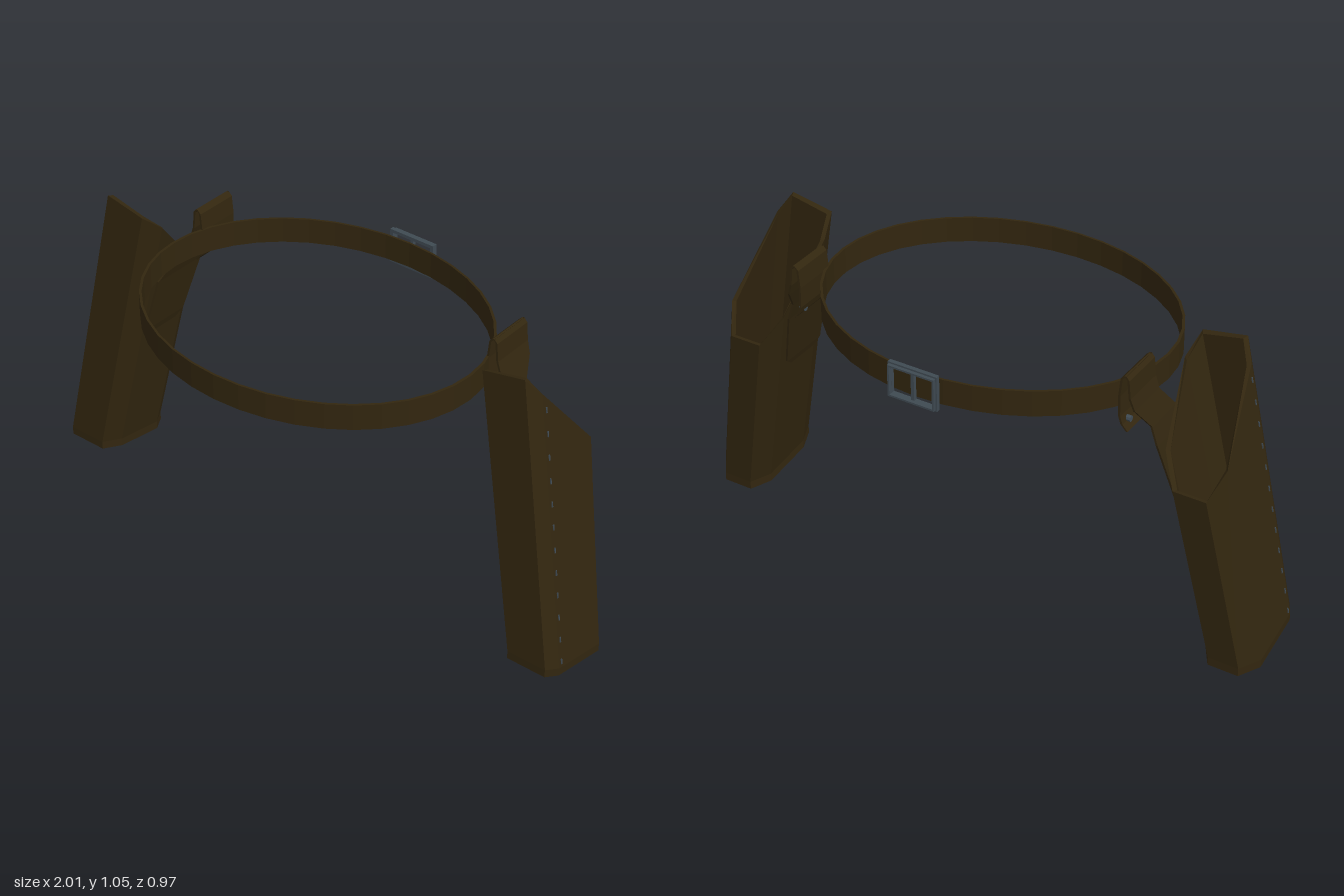
import * as THREE from 'three';

const leather = new THREE.MeshStandardMaterial({ color: 0x32260f, flatShading: true, side: THREE.DoubleSide });
leather.name = 'dark brown leather';
const metal = new THREE.MeshStandardMaterial({ color: 0x3f4a52, flatShading: true });
metal.name = 'grey metal';

const along = (y, y0, a, y1, b) => a + (b - a) * (y - y0) / (y1 - y0);

// Point on the tapered, leaning holster body: u inner to outer, v back to front
function bodyPoint(u, v, y) {
  const inner = along(y, 0.06, 0.82, 1.0, 0.632);
  const outer = along(y, 0.1, 1.0, 1.0, 0.838);
  const back = along(y, 0.03, -0.182, 0.665, -0.24);
  const front = along(y, 0.11, 0.125, 1.055, 0.065);
  return [inner + (outer - inner) * u, y, back + (front - back) * v];
}

// Skin over a list of loops; optional caps at both ends
function loft(loops, closed) {
  const n = loops[0].length, index = [];
  const last = (loops.length - 1) * n;
  for (let i = 0; i < loops.length - 1; i++) {
    for (let j = 0; j < (closed ? n : n - 1); j++) {
      const k = (j + 1) % n;
      const a = i * n + j, b = i * n + k, c = b + n, d = a + n;
      index.push(a, d, c, a, c, b);
    }
  }
  if (closed) {
    for (let j = 1; j < n - 1; j++) index.push(0, j, j + 1, last, last + j + 1, last + j);
  }
  const g = new THREE.BufferGeometry();
  g.setAttribute('position', new THREE.Float32BufferAttribute(loops.flat(2), 3));
  g.setIndex(index);
  g.computeVertexNormals();
  return g;
}

// Mirror a geometry across x and keep its faces outward
function mirrored(geometry) {
  const g = geometry.clone().scale(-1, 1, 1);
  const ix = g.index.array;
  for (let i = 0; i < ix.length; i += 3) [ix[i], ix[i + 1]] = [ix[i + 1], ix[i]];
  g.computeVertexNormals();
  return g;
}

function holsterGeometry() {
  const section = [[1, 0.87], [0.88, 1], [0.15, 1], [0, 0.78], [0, 0.2], [0.2, 0], [0.75, 0], [1, 0.2]];
  const mouthY = [0.995, 1.055, 1.027, 0.965, 0.755, 0.665, 0.665, 0.755];
  const inset = (t) => 0.5 + (t - 0.5) * 0.9;
  const rim = section.map(([u, v]) => bodyPoint(u, v, 0.087 + 0.18 * (v * 0.305 - 0.18)));
  const lowRim = rim.map(([x, y, z]) => [x, y - 0.028, z]);
  const toe = rim.map(([x, , z]) => [0.905 + (x - 0.905) * 0.25, 0.004 + Math.max(0, z) * 0.1, -0.04 + (z + 0.03) * 0.3]);
  const mouth = section.map(([u, v], i) => bodyPoint(u, v, mouthY[i]));
  const lip = section.map(([u, v], i) => bodyPoint(inset(u), inset(v), mouthY[i] - 0.004));
  const floor = section.map(([u, v]) => bodyPoint(inset(u), inset(v), 0.15));
  return loft([toe, lowRim, rim, mouth, lip, floor], true);
}

// Hanger strap: hooks over the belt, narrows, then lies on the holster's inner side
function hangerGeometry() {
  const stations = [ // x, y, back z, front z
    [0.584, 0.825, -0.25, -0.1], [0.566, 0.845, -0.25, -0.1], [0.558, 0.87, -0.25, -0.1],
    [0.556, 0.94, -0.25, -0.1], [0.562, 1.0, -0.25, -0.1], [0.574, 1.012, -0.25, -0.1],
    [0.584, 1.0, -0.25, -0.1], [0.59, 0.94, -0.25, -0.1], [0.603, 0.9, -0.245, -0.1],
    [0.632, 0.825, -0.19, -0.045], [0.652, 0.765, -0.19, 0.01], [0.7, 0.57, -0.15, 0.03],
    [0.709, 0.545, -0.12, 0.0],
  ];
  const t = 0.007;
  return loft(stations.map(([x, y, b, f]) => [[x, y, f], [x, y, b], [x + t, y, b], [x + t, y, f]]), true);
}

export function createModel() {
  const model = new THREE.Group();
  model.name = 'beltWithHolsters';
  const add = (parent, name, geometry, material) => {
    const m = new THREE.Mesh(geometry, material);
    m.name = name;
    parent.add(m);
    return m;
  };

  // Oval belt
  const profile = [[0.573, 0.859], [0.582, 0.859], [0.582, 0.945], [0.573, 0.945], [0.573, 0.859]]
    .map(([x, y]) => new THREE.Vector2(x, y));
  const belt = new THREE.LatheGeometry(profile, 40);
  belt.scale(1, 1, 0.808).translate(0, 0, 0.012);
  add(model, 'belt', belt, leather);

  // Buckle at the back: frame with two openings and a raised rim
  const buckle = new THREE.Group();
  buckle.name = 'buckle';
  model.add(buckle);
  const bar = (name, w, h, d, x, y, z) =>
    add(buckle, name, new THREE.BoxGeometry(w, h, d).translate(x, y, z), metal);
  for (const s of [-1, 1]) {
    bar('buckleRail', 0.168, 0.011, 0.014, 0, 0.903 + s * 0.054, -0.468);
    bar('buckleSide', 0.011, 0.118, 0.014, s * 0.079, 0.903, -0.468);
    bar('buckleRim', 0.16, 0.006, 0.012, 0, 0.903 + s * 0.051, -0.48);
    bar('buckleSideRim', 0.006, 0.104, 0.012, s * 0.077, 0.903, -0.48);
  }
  bar('buckleBar', 0.011, 0.105, 0.012, 0, 0.903, -0.469);

  // Metal stitches down the outer side
  const stitches = [];
  for (let i = 0; i < 12; i++) {
    const y = 0.12 + i * 0.075;
    const [x] = bodyPoint(1, 0.8, y);
    stitches.push(new THREE.BoxGeometry(0.006, 0.018, 0.004)
      .rotateZ(0.178).rotateX(-0.06).translate(x, y, along(y, 0.12, 0.071, 0.945, 0.015)));
  }
  const rivet = new THREE.CylinderGeometry(0.01, 0.01, 0.02, 8).rotateZ(Math.PI / 2).translate(0.574, 0.85, -0.217);

  // Holsters on both sides
  const body = holsterGeometry(), hanger = hangerGeometry();
  for (const [side, place] of [['left', (g) => g], ['right', mirrored]]) {
    const holster = new THREE.Group();
    holster.name = side + 'Holster';
    model.add(holster);
    add(holster, side + 'HolsterBody', place(body), leather);
    add(holster, side + 'Hanger', place(hanger), leather);
    add(holster, side + 'Rivet', place(rivet), metal);
    stitches.forEach((g) => add(holster, side + 'Stitch', place(g), metal));
  }
  return model;
}
